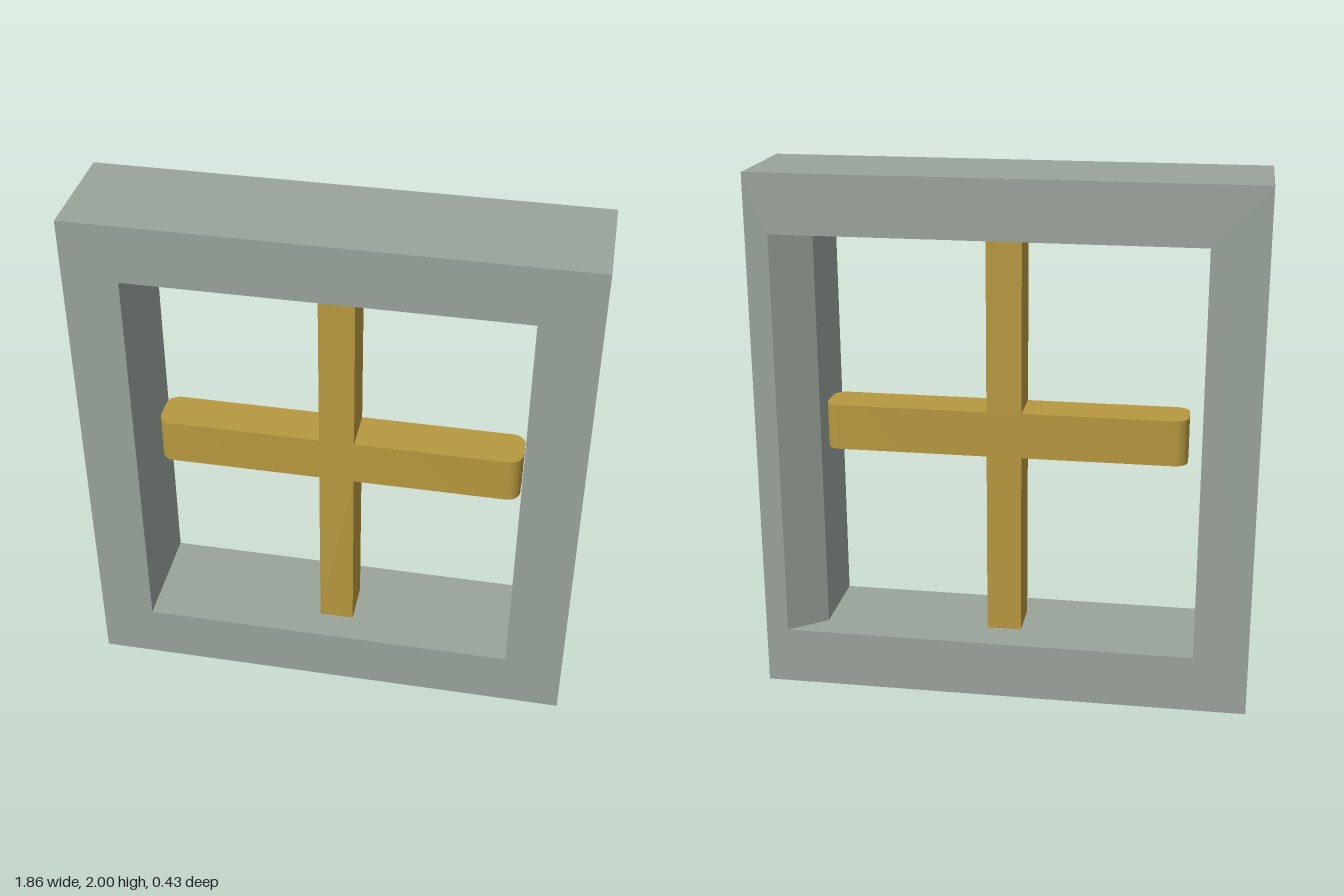
import * as THREE from 'three';
import { toCreasedNormals } from 'three/addons/utils/BufferGeometryUtils.js';

const FRONT = 0.215;            // half depth of the frame
const OPEN = { left: -0.725, right: 0.71, bottom: 0.22, top: 1.78 };
const SPLAY_X = 0.845;          // rear edge of the splayed jamb
const BAR = { back: -0.075, front: 0.097, bottom: 0.93, top: 1.105 };

function rectangle(target, x0, y0, x1, y1) {
  target.moveTo(x0, y0);
  target.lineTo(x1, y0);
  target.lineTo(x1, y1);
  target.lineTo(x0, y1);
  target.closePath();
  return target;
}

// Picture-frame ring whose +x jamb is splayed over the rear quarter of its depth
function frameGeometry() {
  const shape = rectangle(new THREE.Shape(), -0.93, 0, 0.93, 2);
  shape.holes.push(rectangle(new THREE.Path(), OPEN.left, OPEN.bottom, OPEN.right, OPEN.top));
  const geo = new THREE.ExtrudeGeometry(shape, { depth: 2 * FRONT, steps: 4, bevelEnabled: false });
  geo.translate(0, 0, -FRONT);
  const pos = geo.attributes.position;
  for (let i = 0; i < pos.count; i++) {
    const atRear = pos.getZ(i) < -FRONT + 0.01;
    if (atRear && Math.abs(pos.getX(i) - OPEN.right) < 0.001) pos.setX(i, SPLAY_X);
  }
  geo.computeVertexNormals();
  return geo;
}

// Horizontal bar: a plan outline with rounded corners, extruded upwards
function crossbarGeometry() {
  const x0 = -0.67, x1 = 0.7, y0 = -BAR.front, y1 = -BAR.back, r = 0.05;
  const plan = new THREE.Shape();
  plan.moveTo(x0 + r, y0);
  plan.lineTo(x1 - r, y0);
  plan.absarc(x1 - r, y0 + r, r, -Math.PI / 2, 0);
  plan.absarc(x1 - r, y1 - r, r, 0, Math.PI / 2);
  plan.absarc(x0 + r, y1 - r, r, Math.PI / 2, Math.PI);
  plan.absarc(x0 + r, y0 + r, r, Math.PI, Math.PI * 1.5);
  const geo = new THREE.ExtrudeGeometry(plan, {
    depth: BAR.top - BAR.bottom, bevelEnabled: false, curveSegments: 8,
  });
  geo.rotateX(-Math.PI / 2);
  geo.translate(0, BAR.bottom, 0);
  return toCreasedNormals(geo, 0.6);
}

export function createModel() {
  const stone = new THREE.MeshStandardMaterial({ color: 0x9aa49b });
  stone.name = 'greyStone';
  const ochre = new THREE.MeshStandardMaterial({ color: 0xb8993f });
  ochre.name = 'ochre';

  const model = new THREE.Group();
  model.name = 'window';
  const add = (name, geo, material) => {
    const mesh = new THREE.Mesh(geo, material);
    mesh.name = name;
    model.add(mesh);
    return mesh;
  };

  add('frame', frameGeometry(), stone);
  add('crossbar', crossbarGeometry(), ochre);

  // Upright bar, above and below the crossbar
  const uprights = [
    ['lowerUpright', OPEN.bottom, BAR.bottom],
    ['upperUpright', BAR.top, OPEN.top],
  ];
  for (const [name, y0, y1] of uprights) {
    const geo = new THREE.BoxGeometry(0.132, y1 - y0, BAR.front - BAR.back);
    add(name, geo, ochre).position.set(0.014, (y0 + y1) / 2, (BAR.front + BAR.back) / 2);
  }
  return model;
}
